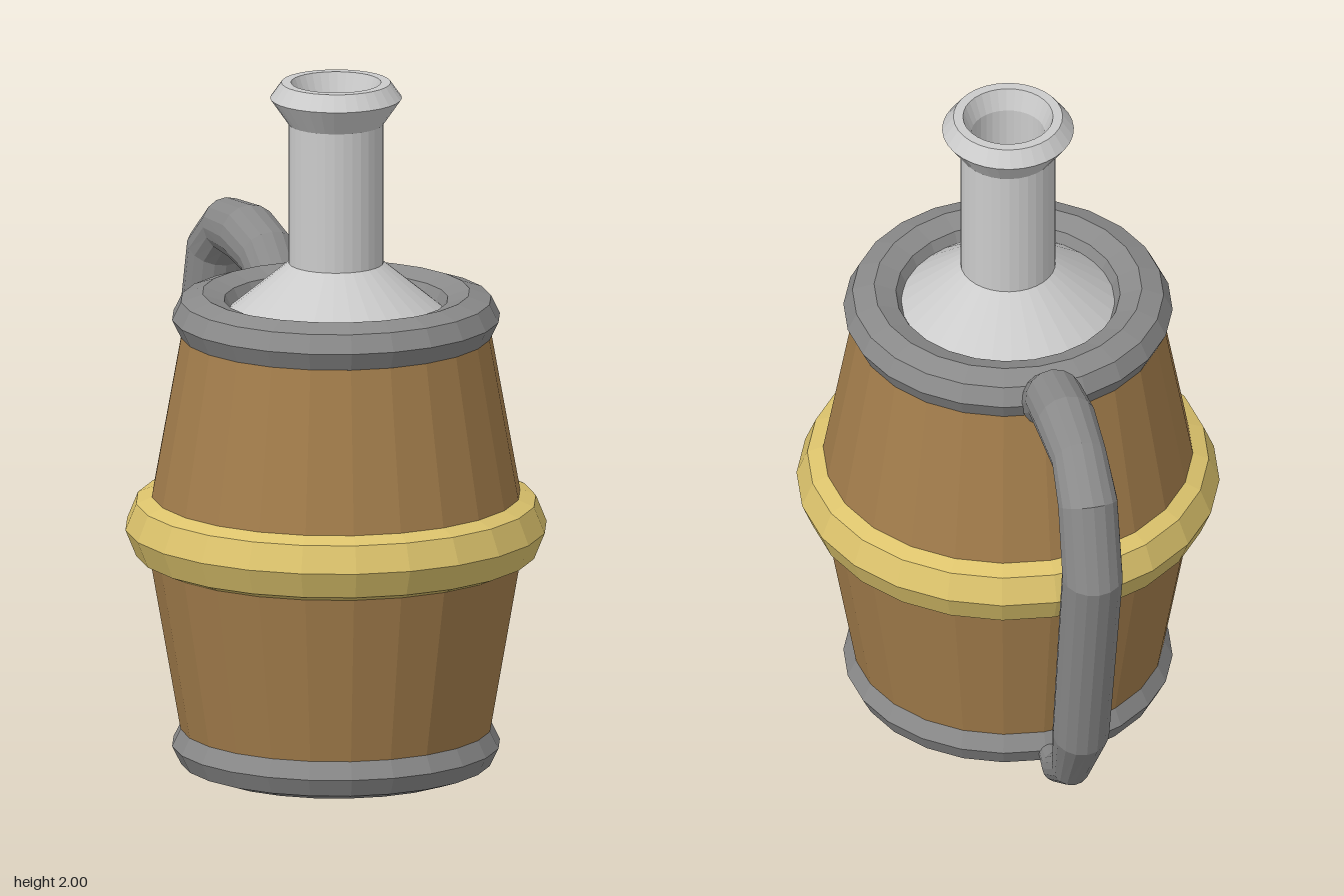
import * as THREE from 'three';

const mat = (color, side = THREE.FrontSide) =>
  new THREE.MeshStandardMaterial({ color, flatShading: true, side });
const wood = mat(0xa47e4c);
const brass = mat(0xdcc36c);
const iron = mat(0x8a8a8a);
const pale = mat(0xcccccc, THREE.DoubleSide);

function lathe(name, profile, segments, material) {
  const points = profile.map(([r, y]) => new THREE.Vector2(r, y));
  const mesh = new THREE.Mesh(new THREE.LatheGeometry(points, segments), material);
  mesh.name = name;
  return mesh;
}

// Hoop with an eight-sided section, squashed to its own width and height
function hoop(name, radius, y, halfWidth, halfHeight, material) {
  const profile = [];
  for (let i = 0; i <= 8; i++) {
    const a = (i / 8) * Math.PI * 2;
    profile.push([radius + Math.cos(a) * halfWidth, y + Math.sin(a) * halfHeight]);
  }
  return lathe(name, profile, 24, material);
}

// Tube of varying radius along stations [z, y, radius]
function sweep(stations, x, sides) {
  const pos = [], index = [];
  const n = stations.length;
  stations.forEach(([z, y, r], i) => {
    const a = stations[Math.max(i - 1, 0)], b = stations[Math.min(i + 1, n - 1)];
    const len = Math.hypot(b[0] - a[0], b[1] - a[1]);
    const tz = (b[0] - a[0]) / len, ty = (b[1] - a[1]) / len;
    for (let j = 0; j < sides; j++) {
      const t = (j / sides) * Math.PI * 2;
      pos.push(x + r * Math.cos(t), y + r * Math.sin(t) * tz, z - r * Math.sin(t) * ty);
    }
  });
  for (let i = 0; i < n - 1; i++) {
    for (let j = 0; j < sides; j++) {
      const k = (j + 1) % sides;
      const a = i * sides + j, b = i * sides + k;
      index.push(a, b, b + sides, a, b + sides, a + sides);
    }
  }
  // End caps
  const last = (n - 1) * sides;
  for (let j = 1; j < sides - 1; j++) {
    index.push(0, j + 1, j, last, last + j, last + j + 1);
  }
  const geo = new THREE.BufferGeometry();
  geo.setAttribute('position', new THREE.Float32BufferAttribute(pos, 3));
  geo.setIndex(index);
  geo.computeVertexNormals();
  return geo;
}

export function createModel() {
  const model = new THREE.Group();
  model.name = 'barrelJug';

  const vessel = new THREE.Group();
  vessel.name = 'vessel';
  vessel.position.z = 0.24;
  model.add(vessel);

  // Bulging wooden body, closed at both ends
  vessel.add(lathe('barrelBody', [
    [0, 0.08], [0.435, 0.08], [0.543, 0.7], [0.435, 1.3], [0, 1.3],
  ], 24, wood));

  // Hoops
  vessel.add(hoop('bottomHoop', 0.38, 0.075, 0.087, 0.073, iron));
  vessel.add(hoop('middleBand', 0.495, 0.708, 0.105, 0.107, brass));
  vessel.add(hoop('topHoop', 0.38, 1.317, 0.087, 0.073, iron));

  // Shoulder cone, neck and flared lip with an open bore
  vessel.add(lathe('neck', [
    [0.33, 1.315], [0.135, 1.475], [0.135, 1.88], [0.187, 1.955], [0.155, 2],
    [0.128, 2], [0.105, 1.94], [0.105, 1.31],
  ], 32, pale));

  // Handle, tapering into the bottom hoop
  const handle = new THREE.Mesh(sweep([
    [-0.17, 1.29, 0.075], [-0.28, 1.38, 0.084], [-0.43, 1.408, 0.087],
    [-0.59, 1.398, 0.08], [-0.69, 1.315, 0.086], [-0.748, 1.098, 0.087],
    [-0.605, 0.425, 0.081], [-0.485, 0.212, 0.055], [-0.315, 0.083, 0.044],
    [-0.18, 0.048, 0.025],
  ], -0.012, 16), iron);
  handle.name = 'handle';
  model.add(handle);

  return model;
}
